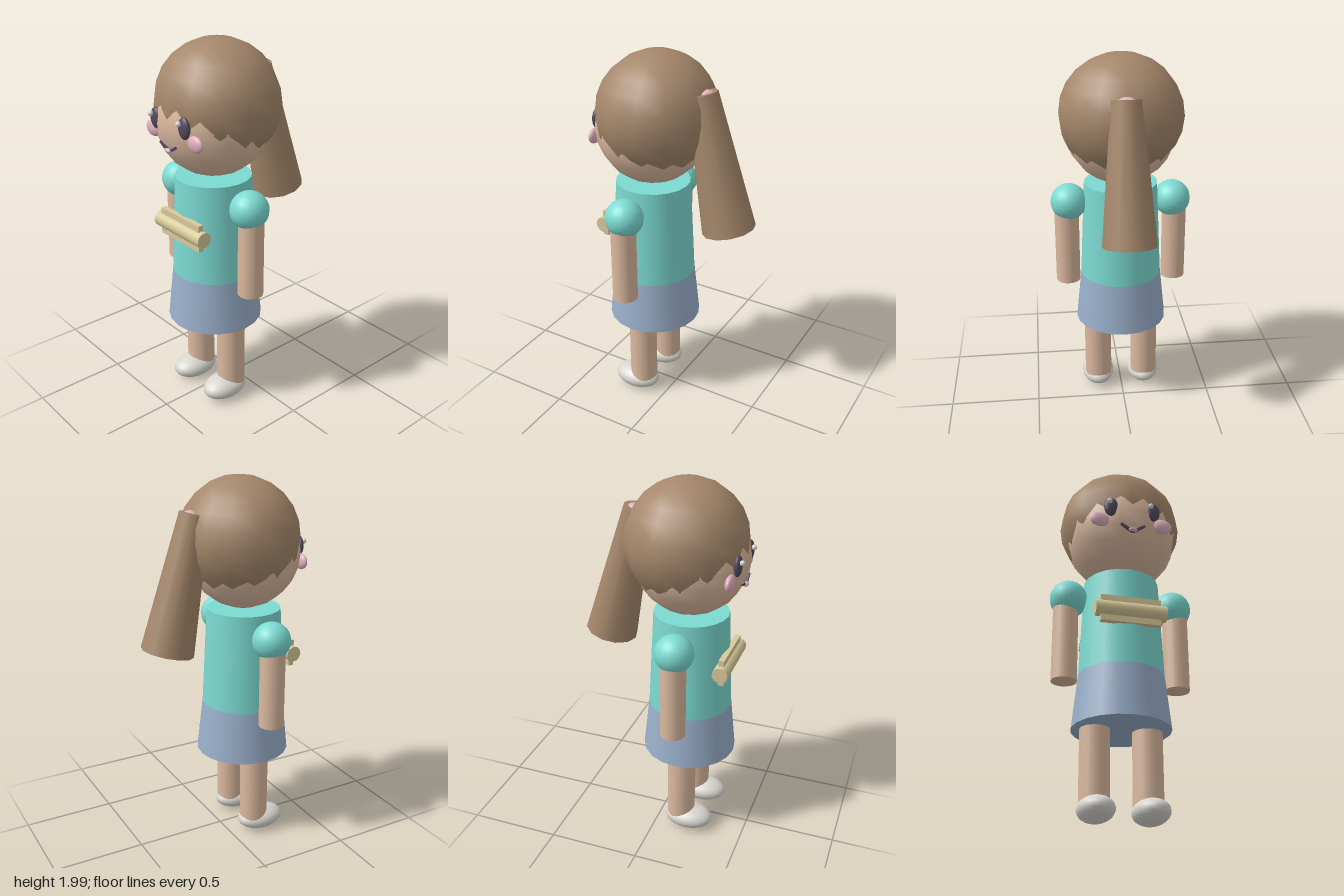
import * as THREE from 'three';

const mat = (name, color) => new THREE.MeshStandardMaterial({ name, color });

export function createModel() {
  const model = new THREE.Group();
  model.name = 'girl';
  const skin = mat('skin', 0xdbb99f);
  const brown = mat('hair brown', 0xa5876b);
  const teal = mat('shirt teal', 0x7cdad2);
  const blue = mat('skirt blue', 0x9ab0cb);
  const white = mat('white', 0xd8d6d0);
  const pink = mat('pink', 0xdfb0bd);
  const dark = mat('dark purple', 0x54495f);
  const cream = mat('scroll cream', 0xd8ca9a);

  const add = (name, geometry, material, x, y, z) => {
    const mesh = new THREE.Mesh(geometry, material);
    mesh.name = name;
    mesh.position.set(x, y, z);
    model.add(mesh);
    return mesh;
  };
  const ball = (name, material, x, y, z, rx, ry = rx, rz = rx, w = 20, h = 14) => {
    const mesh = add(name, new THREE.SphereGeometry(1, w, h), material, x, y, z);
    mesh.scale.set(rx, ry, rz);
    return mesh;
  };
  // Upright tapered column between two heights
  const column = (name, material, x, z, y0, y1, r0, r1 = r0, sides = 20) =>
    add(name, new THREE.CylinderGeometry(r1, r0, y1 - y0, sides), material, x, (y0 + y1) / 2, z);

  const Z = 0.143; // body axis

  // Clothes
  column('skirt', blue, 0, Z, 0.48, 0.765, 0.255, 0.225);
  column('shirt', teal, 0, Z, 0.765, 1.3, 0.225, 0.2);

  // Head, with the hair as a second ball overlapping it from above and behind
  ball('head', skin, 0, 1.605, 0.139, 0.3, 0.3, 0.3, 14, 12);
  const hair = add('hair', new THREE.SphereGeometry(1, 14, 12).rotateY(Math.PI / 2), brown, 0, 1.68, 0.111);
  hair.scale.set(0.332, 0.32, 0.319);

  // Ponytail and its tie
  const tail = add('ponytail', new THREE.CylinderGeometry(0.078, 0.141, 0.725, 12), brown, 0, 1.47, -0.229);
  tail.rotation.x = 0.232;
  ball('hairTie', pink, 0, 1.777, -0.168, 0.065);

  // Limbs and face, mirrored
  for (const s of [-1, 1]) {
    const side = s > 0 ? 'left' : 'right';
    column(side + 'Leg', skin, s * 0.135, Z, 0.05, 0.6, 0.077);
    ball(side + 'Shoe', white, s * 0.135, 0.07, 0.188, 0.093, 0.064, 0.135);
    column(side + 'Arm', skin, s * 0.298, 0.146, 0.72, 1.2, 0.067);
    ball(side + 'Sleeve', teal, s * 0.284, 1.19, 0.146, 0.1, 0.1, 0.102);
    ball(side + 'Eye', dark, s * 0.112, 1.627, 0.407, 0.04, 0.055, 0.021);
    ball(side + 'EyeShine', white, s * 0.112 - 0.014, 1.65, 0.431, 0.014);
    ball(side + 'Cheek', pink, s * 0.168, 1.557, 0.386, 0.055, 0.042, 0.022);
    const lip = add(side + 'Mouth', new THREE.BoxGeometry(0.075, 0.011, 0.018), dark, s * 0.032, 1.503, 0.418);
    lip.rotation.z = s * 0.55;
  }
  ball('tongue', pink, 0, 1.491, 0.424, 0.025, 0.011, 0.014);

  // Scroll on the chest
  const roll = add('scroll', new THREE.CylinderGeometry(0.042, 0.042, 0.368, 16), cream, 0, 1.048, 0.355);
  roll.rotation.z = Math.PI / 2;
  add('scrollSheet', new THREE.BoxGeometry(0.314, 0.144, 0.03), cream, 0, 1.048, 0.355);

  return model;
}
